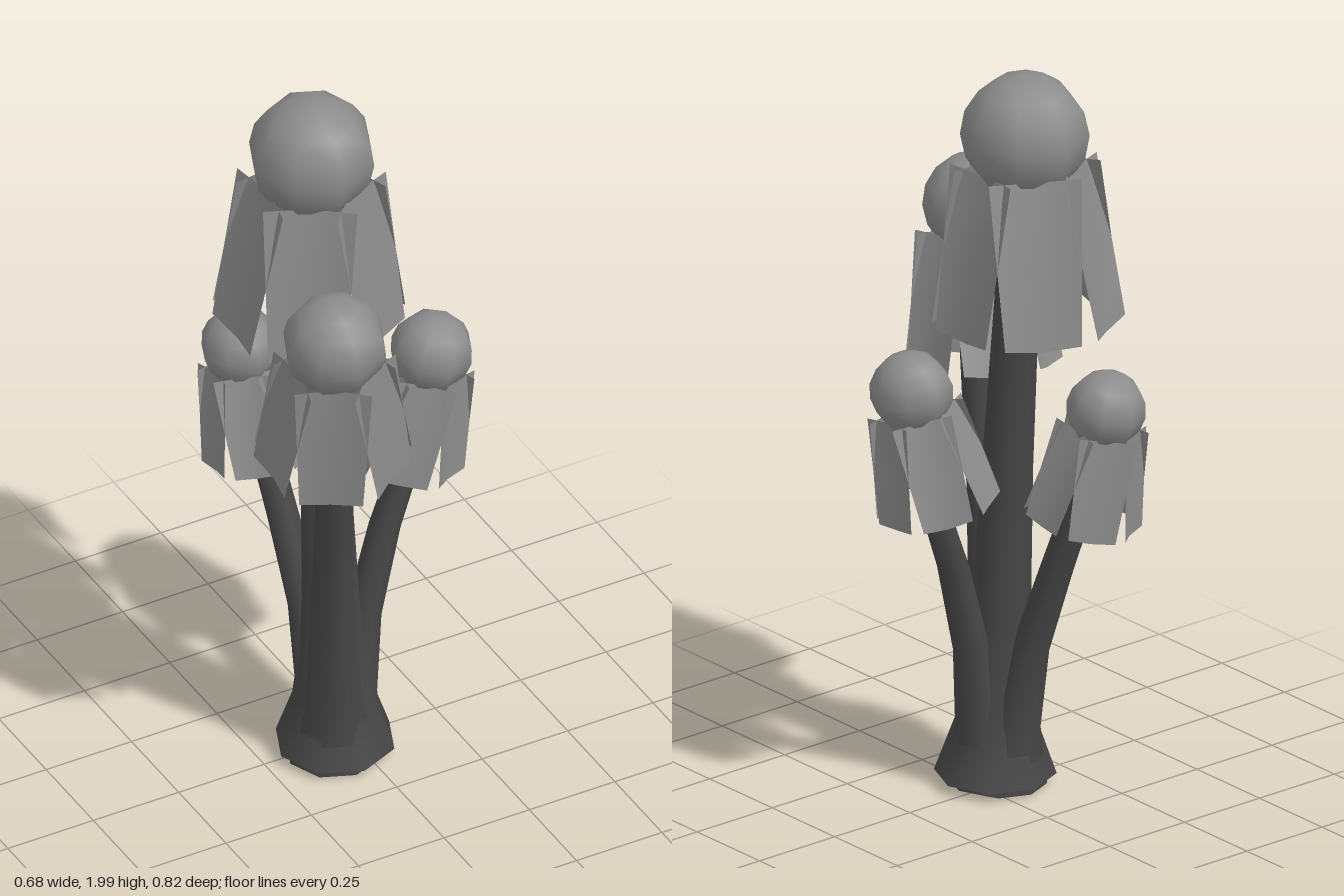
import * as THREE from 'three';
import { mergeVertices } from 'three/addons/utils/BufferGeometryUtils.js';

const capMaterial = new THREE.MeshStandardMaterial({ color: 0x8b8b8b, side: THREE.DoubleSide });
capMaterial.name = 'cap grey';
const stemMaterial = new THREE.MeshStandardMaterial({ color: 0x464646, side: THREE.DoubleSide });
stemMaterial.name = 'stem dark grey';

// Open tapered tube; each row is [x, y, z, radius], from bottom to top
function stemGeometry(rows) {
  const sides = 8, n = rows.length - 1;
  const geo = new THREE.CylinderGeometry(1, 1, 1, sides, n, true);
  const p = geo.attributes.position;
  for (let i = 0; i < p.count; i++) {
    const [x, y, z, r] = rows[Math.round((p.getY(i) + 0.5) * n)];
    p.setXYZ(i, x + p.getX(i) * r, y, z + p.getZ(i) * r);
  }
  geo.deleteAttribute('uv');
  geo.deleteAttribute('normal');
  const merged = mergeVertices(geo, 1e-5);
  merged.computeVertexNormals();
  return merged;
}

// Drooping petal: starts inside the cap, leans outward, and its top corners flare past the cap
function petalGeometry() {
  const geo = new THREE.PlaneGeometry(2, 1, 2, 2);
  const p = geo.attributes.position;
  for (let i = 0; i < p.count; i++) {
    const side = p.getX(i), t = 0.5 - p.getY(i), edge = Math.abs(side);
    const halfWidth = THREE.MathUtils.lerp(0.121, 0.1, t);
    const out = THREE.MathUtils.lerp(0.115, 0.21, t) + THREE.MathUtils.lerp(0.035, 0.017, t) * edge;
    const y = THREE.MathUtils.lerp(-0.09, -0.52, t) + 0.015 * edge;
    p.setXYZ(i, side * halfWidth, y, out);
  }
  geo.computeVertexNormals();
  return geo;
}

const ballRadius = 0.167;
const ball = new THREE.SphereGeometry(ballRadius, 8, 8);
const petal = petalGeometry();

// Round cap with a ring of six petals, tilted along its stem
function makeHead(position, radius, tilt) {
  const head = new THREE.Group();
  head.name = 'head';
  const cap = new THREE.Mesh(ball, capMaterial);
  cap.name = 'cap';
  head.add(cap);
  for (let i = 0; i < 6; i++) {
    const leaf = new THREE.Mesh(petal, capMaterial);
    leaf.name = 'petal';
    leaf.rotation.y = Math.PI / 6 + i * Math.PI / 3;
    head.add(leaf);
  }
  head.position.set(...position);
  head.scale.setScalar(radius / ballRadius);
  head.quaternion.setFromUnitVectors(
    new THREE.Vector3(0, 1, 0), new THREE.Vector3(...tilt).normalize());
  return head;
}

const stalks = [
  { // tall centre stalk with the flared foot
    name: 'tallStalk', head: [-0.065, 1.833, -0.083], radius: 0.167, tilt: [0, 1, 0.03],
    stem: [[-0.055, 0.035, 0.023, 0.158], [-0.053, 0.2, 0.018, 0.1], [-0.057, 0.45, 0.005, 0.078],
      [-0.06, 0.9, -0.02, 0.066], [-0.065, 1.35, -0.05, 0.058], [-0.065, 1.76, -0.078, 0.055]],
  },
  { // front stalk
    name: 'frontStalk', head: [-0.19, 1.498, 0.265], radius: 0.137, tilt: [-0.09, 1, 0.19],
    stem: [[-0.065, 0.008, 0.03, 0.125], [-0.08, 0.2, 0.065, 0.078], [-0.1, 0.45, 0.09, 0.062],
      [-0.125, 0.75, 0.14, 0.052], [-0.15, 1.1, 0.2, 0.05], [-0.183, 1.43, 0.25, 0.046]],
  },
  { // side stalk
    name: 'sideStalk', head: [0.23, 1.166, 0.017], radius: 0.109, tilt: [0.2, 1, 0.1],
    stem: [[-0.05, 0.015, 0.02, 0.12], [0, 0.18, 0.017, 0.065], [0.035, 0.4, 0.01, 0.048],
      [0.1, 0.65, 0.005, 0.042], [0.17, 0.85, 0.005, 0.038], [0.22, 1.1, 0.012, 0.035]],
  },
  { // back stalk
    name: 'backStalk', head: [-0.155, 1.116, -0.3], radius: 0.104, tilt: [-0.1, 1, -0.18],
    stem: [[-0.06, 0.012, 0.0, 0.115], [-0.065, 0.18, -0.045, 0.065], [-0.08, 0.4, -0.085, 0.05],
      [-0.105, 0.65, -0.165, 0.044], [-0.125, 0.84, -0.23, 0.042], [-0.15, 1.06, -0.288, 0.036]],
  },
];

export function createModel() {
  const model = new THREE.Group();
  model.name = 'stalkCluster';
  for (const s of stalks) {
    const group = new THREE.Group();
    group.name = s.name;
    const stem = new THREE.Mesh(stemGeometry(s.stem), stemMaterial);
    stem.name = 'stem';
    group.add(stem, makeHead(s.head, s.radius, s.tilt));
    model.add(group);
  }
  return model;
}
